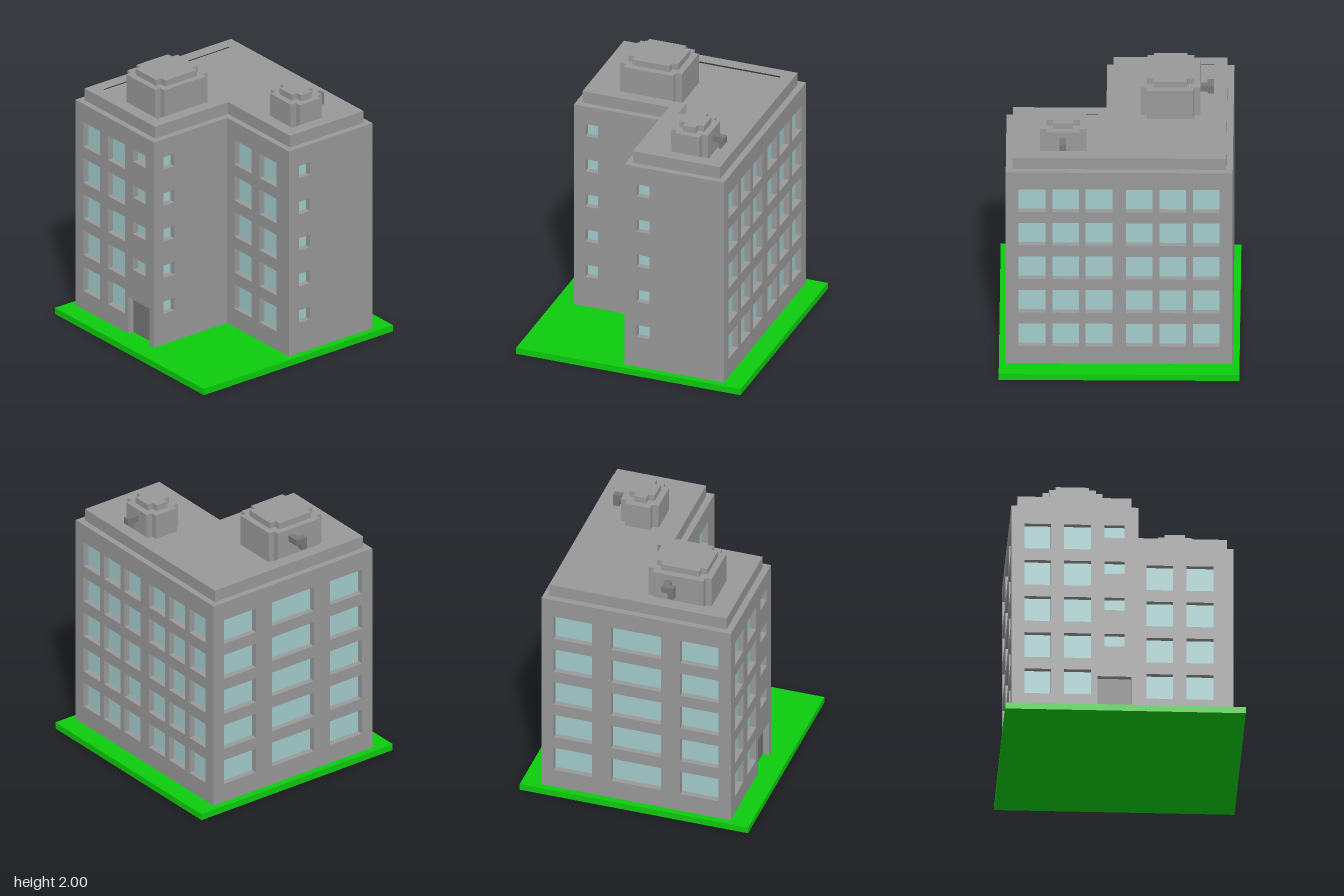
import * as THREE from 'three';

const material = (name, color) => {
  const m = new THREE.MeshStandardMaterial({ color });
  m.name = name;
  return m;
};

const BASE = 0.05, ROOF = 1.71, RECESS = 0.05, FLOOR_STEP = 0.292;

export function createModel() {
  const model = new THREE.Group();
  model.name = 'apartmentBlock';
  const grass = material('grass green', 0x0dcc0d);
  const concrete = material('concrete grey', 0x999999);
  const dark = material('dark grey', 0x777777);
  const glass = material('pale blue glass', 0xa3cccc);

  const add = (parent, name, geometry, mat) => {
    const mesh = new THREE.Mesh(geometry, mat);
    mesh.name = name;
    parent.add(mesh);
    return mesh;
  };

  // Box given by its limits along each axis
  const box = (parent, name, mat, x0, x1, y0, y1, z0, z1) =>
    add(parent, name, new THREE.BoxGeometry(x1 - x0, y1 - y0, z1 - z0), mat)
      .position.set((x0 + x1) / 2, (y0 + y1) / 2, (z0 + z1) / 2);

  // Upright prism from a plan outline of [x, z] points, with an optional hole
  const prism = (parent, name, mat, y0, y1, plan, hole) => {
    const points = (list) => list.map(([x, z]) => new THREE.Vector2(x, -z));
    const shape = new THREE.Shape(points(plan));
    if (hole) shape.holes.push(new THREE.Path(points(hole)));
    const g = new THREE.ExtrudeGeometry(shape, { depth: y1 - y0, bevelEnabled: false });
    g.rotateX(-Math.PI / 2);
    g.translate(0, y0, 0);
    return add(parent, name, g, mat);
  };

  // L-shaped plan, pulled in from the outer walls by a margin
  const lPlan = (m) => [
    [-0.83 + m, -0.73 + m], [0.83 - m, -0.73 + m], [0.83 - m, 0.05 - m],
    [0.1 - m, 0.05 - m], [0.1 - m, 0.73 - m], [-0.83 + m, 0.73 - m],
  ];

  // Plus-shaped plan with notched corners
  const plusPlan = (x0, x1, z0, z1, n = 0.048) => [
    [x0 + n, z0], [x1 - n, z0], [x1 - n, z0 + n], [x1, z0 + n],
    [x1, z1 - n], [x1 - n, z1 - n], [x1 - n, z1], [x0 + n, z1],
    [x0 + n, z1 - n], [x0, z1 - n], [x0, z0 + n], [x0 + n, z0 + n],
  ];

  // Ground, solid core and parapet
  box(model, 'ground', grass, -0.88, 0.88, 0, BASE, -0.88, 0.88);
  prism(model, 'buildingCore', concrete, 0.02, ROOF, lPlan(RECESS));
  prism(model, 'parapet', concrete, ROOF, 1.805, lPlan(0.048), lPlan(0.145));

  // Wall with openings; each opening is [u0, u1, y0, y1, name, material]
  const wall = (name, angle, distance, u0, u1, openings) => {
    const group = new THREE.Group();
    group.name = name;
    group.rotation.y = angle;
    const rect = (Type, a, b, c, d) => new Type([
      new THREE.Vector2(a, c), new THREE.Vector2(b, c),
      new THREE.Vector2(b, d), new THREE.Vector2(a, d),
    ]);
    const shape = rect(THREE.Shape, u0, u1, 0.02, ROOF);
    const back = distance - RECESS;
    for (const [a, b, c, d, part, mat] of openings) {
      shape.holes.push(rect(THREE.Path, a, b, c, d));
      box(group, part, mat, a, b, c, d, back - 0.001, back + 0.004);
    }
    const g = new THREE.ExtrudeGeometry(shape, { depth: RECESS, bevelEnabled: false });
    add(group, name + 'Panel', g, concrete).position.z = back;
    model.add(group);
  };

  // Window grid: one column per [u0, u1], repeated on each storey
  const windows = (columns, y0 = 0.198, y1 = 0.396, first = 0) => {
    const list = [];
    for (let i = first; i < 5; i++)
      for (const [a, b] of columns)
        list.push([a, b, y0 + i * FLOOR_STEP, y1 + i * FLOOR_STEP, 'window', glass]);
    return list;
  };

  const right = Math.PI / 2;
  wall('frontWall', 0, 0.73, -0.83, 0.1, [
    ...windows([[-0.735, -0.54], [-0.445, -0.245]]),
    ...windows([[-0.147, 0]], 0.296, 0.396, 1),
    [-0.2, 0.048, 0.03, 0.345, 'door', dark],
  ]);
  wall('innerFrontWall', 0, 0.05, 0.05, 0.83, windows([[0.19, 0.387], [0.483, 0.683]]));
  wall('innerSideWall', right, 0.1, -0.73, -0.05, windows([[-0.64, -0.54]], 0.296, 0.396));
  wall('rightEndWall', right, 0.83, -0.05, 0.73, windows([[0.045, 0.145]], 0.296, 0.396));
  const half = [[0.05, 0.245], [0.293, 0.488], [0.54, 0.735]];
  wall('backWall', Math.PI, 0.73, -0.83, 0.83,
    windows([...half, ...half.map(([a, b]) => [-b, -a])]));
  wall('sideWall', -right, 0.83, -0.73, 0.73,
    windows([[-0.635, -0.34], [-0.193, 0.193], [0.34, 0.635]]));

  // Rooftop water tanks: body with a smaller stepped lid
  const tank = (name, x0, x1, z0, z1, top) => {
    const group = new THREE.Group();
    group.name = name;
    const n = 0.048;
    prism(group, 'tankBody', concrete, ROOF, top, plusPlan(x0, x1, z0, z1));
    prism(group, 'tankLid', concrete, top, top + 0.048,
      plusPlan(x0 + n, x1 - n, z0 + n, z1 - n));
    model.add(group);
    return group;
  };
  const largeTank = tank('largeTank', -0.587, -0.15, 0, 0.485, 1.952);
  const smallTank = tank('smallTank', 0.243, 0.583, -0.49, -0.2, 1.905);

  // Outlet pipes that bend downwards
  box(largeTank, 'pipeArm', dark, -0.685, -0.587, 1.858, 1.905, 0.145, 0.193);
  box(largeTank, 'pipeElbow', dark, -0.685, -0.638, 1.858, 1.905, 0.193, 0.24);
  box(largeTank, 'pipeDrop', dark, -0.685, -0.638, 1.81, 1.858, 0.193, 0.24);
  box(smallTank, 'pipeArm', dark, 0.39, 0.437, 1.807, 1.855, -0.585, -0.49);
  box(smallTank, 'pipeDrop', dark, 0.39, 0.437, 1.76, 1.807, -0.585, -0.537);

  return model;
}
